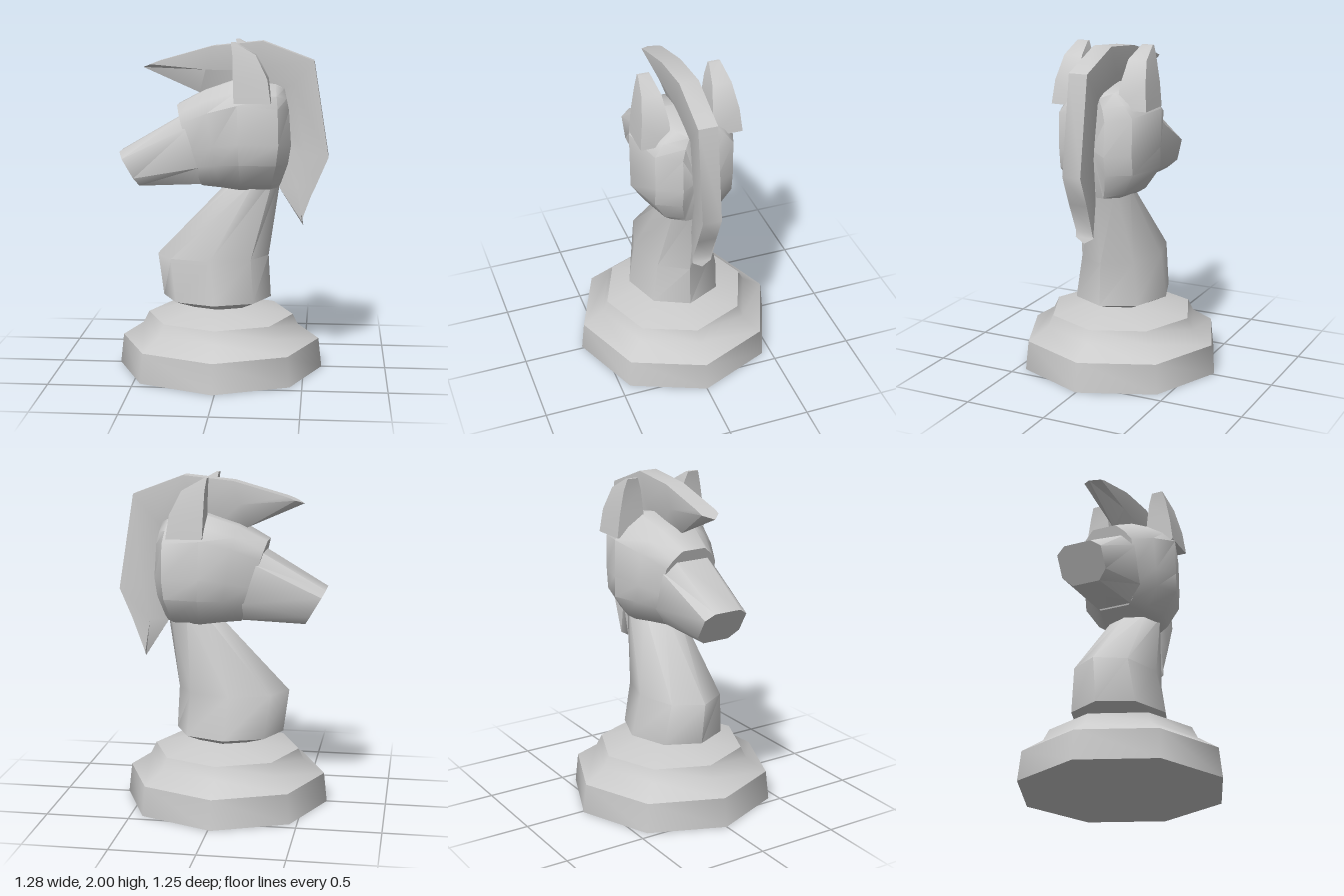
import * as THREE from 'three';
import { toCreasedNormals } from 'three/addons/utils/BufferGeometryUtils.js';

const material = new THREE.MeshStandardMaterial({ color: 0xcccccc });

function addPart(group, name, geometry, crease) {
  const mesh = new THREE.Mesh(toCreasedNormals(geometry, crease), material);
  mesh.name = name;
  group.add(mesh);
  return mesh;
}

// Skin a list of equal-length rings of [x, y, z] points and close both ends.
function loft(rings) {
  const n = rings[0].length;
  const points = rings.flat();
  const index = [];
  for (let r = 0; r < rings.length - 1; r++) {
    for (let i = 0; i < n; i++) {
      const a = r * n + i, b = r * n + (i + 1) % n;
      index.push(a, b, a + n, b, b + n, a + n);
    }
  }
  [0, rings.length - 1].forEach((r, end) => {
    const c = points.length;
    points.push([0, 1, 2].map(k => rings[r].reduce((s, p) => s + p[k], 0) / n));
    for (let i = 0; i < n; i++) {
      const a = r * n + i, b = r * n + (i + 1) % n;
      if (end) index.push(a, b, c); else index.push(b, a, c);
    }
  });
  // Turn the faces outward if the enclosed volume is negative.
  const v = points.map(p => new THREE.Vector3(...p));
  let volume = 0;
  for (let i = 0; i < index.length; i += 3) {
    volume += v[index[i]].dot(v[index[i + 1]].clone().cross(v[index[i + 2]]));
  }
  if (volume < 0) index.reverse();
  const geometry = new THREE.BufferGeometry();
  geometry.setAttribute('position', new THREE.Float32BufferAttribute(points.flat(), 3));
  geometry.setIndex(index);
  return geometry;
}

// Mirrored section between a top and a bottom point; profile holds
// [position from top to bottom, fraction of half width, fraction of bow].
function section([tx, ty], [bx, by], width, profile, bow = 0) {
  const side = s => profile.map(([t, w, b = 0]) =>
    [tx + (bx - tx) * t + bow * b, ty + (by - ty) * t, s * w * width]);
  return [...side(1), ...side(-1).reverse()];
}

export function createModel() {
  const model = new THREE.Group();
  model.name = 'chessKnight';

  // Stepped octagonal base
  const profile = [[0, 0], [0.625, 0], [0.605, 0.18], [0.48, 0.26], [0.445, 0.33], [0.18, 0.4], [0, 0.4]];
  const base = new THREE.LatheGeometry(profile.map(p => new THREE.Vector2(...p)), 8);
  base.translate(-0.015, 0, 0);
  addPart(model, 'base', base, 0.8);

  // Neck: octagonal rings [y, front x, back x, half width]
  const neckRings = [
    [0.39, -0.2, 0.17, 0.18], [0.44, -0.365, 0.295, 0.29],
    [0.7, -0.4, 0.28, 0.245], [1.18, 0.06, 0.35, 0.16],
  ].map(([y, x0, x1, w]) => Array.from({ length: 8 }, (_, i) => {
    const a = i * Math.PI / 4;
    return [(x0 + x1) / 2 + Math.cos(a) * (x1 - x0) / 2, y, Math.sin(a) * w];
  }));
  addPart(model, 'neck', loft(neckRings), 0.9);

  // Skull, from brow to back of the head
  const skull = [[0, 0.45, 0], [0.1, 0.77, 0.3], [0.215, 1, 0.6], [0.56, 1, 1], [0.75, 1, 0.8], [0.95, 0.71, 0.2], [1, 0.55, 0]];
  addPart(model, 'head', loft([
    section([-0.27, 1.62], [-0.12, 1.14], 0.17, skull),
    section([-0.1, 1.71], [0, 1.135], 0.245, skull),
    section([0.1, 1.78], [0.12, 1.125], 0.312, skull),
    section([0.32, 1.745], [0.29, 1.125], 0.235, skull, 0.04),
    section([0.37, 1.72], [0.34, 1.125], 0.09, skull, 0.06),
  ]), 0.75);

  // Muzzle
  const snout = [[0, 0.6], [0.18, 1], [0.75, 1], [1, 0.6]];
  addPart(model, 'muzzle', loft([
    section([-0.62, 1.335], [-0.5, 1.13], 0.142, snout),
    section([-0.2, 1.58], [-0.1, 1.15], 0.18, snout),
    section([0, 1.66], [0.05, 1.135], 0.2, snout),
  ]), 0.8);

  // Mane: wedge sections [outer point, inner point]
  const wedge = [[0, 1], [0.5, 1], [1, 0.02]];
  addPart(model, 'mane', loft([
    [[-0.38, 1.88], [-0.48, 1.84]],
    [[-0.06, 1.97], [-0.14, 1.69]],
    [[0.24, 2], [0.1, 1.65]],
    [[0.545, 1.885], [0.3, 1.6]],
    [[0.637, 1.31], [0.36, 1.36]],
    [[0.56, 1.13], [0.34, 1.12]],
    [[0.475, 0.95], [0.49, 0.885]],
  ].map(([outer, inner]) => section(outer, inner, 0.057, wedge))), 0.8);

  // Pointed ears, mirrored: rings [y, front x, back x, inner z, outer z]
  for (const side of [1, -1]) {
    const rings = [
      [1.65, 0.085, 0.3, 0.12, 0.305],
      [1.79, 0.08, 0.28, 0.13, 0.29],
      [1.93, 0.075, 0.21, 0.15, 0.265],
      [2, 0.065, 0.085, 0.175, 0.245],
    ].map(([y, x0, x1, z0, z1]) =>
      [[x0, y, z0], [x0, y, z1], [x1, y, z1], [x1, y, z0]].map(([x, h, z]) => [x, h, z * side]));
    addPart(model, side > 0 ? 'leftEar' : 'rightEar', loft(rings), 0.8);
  }
  return model;
}
